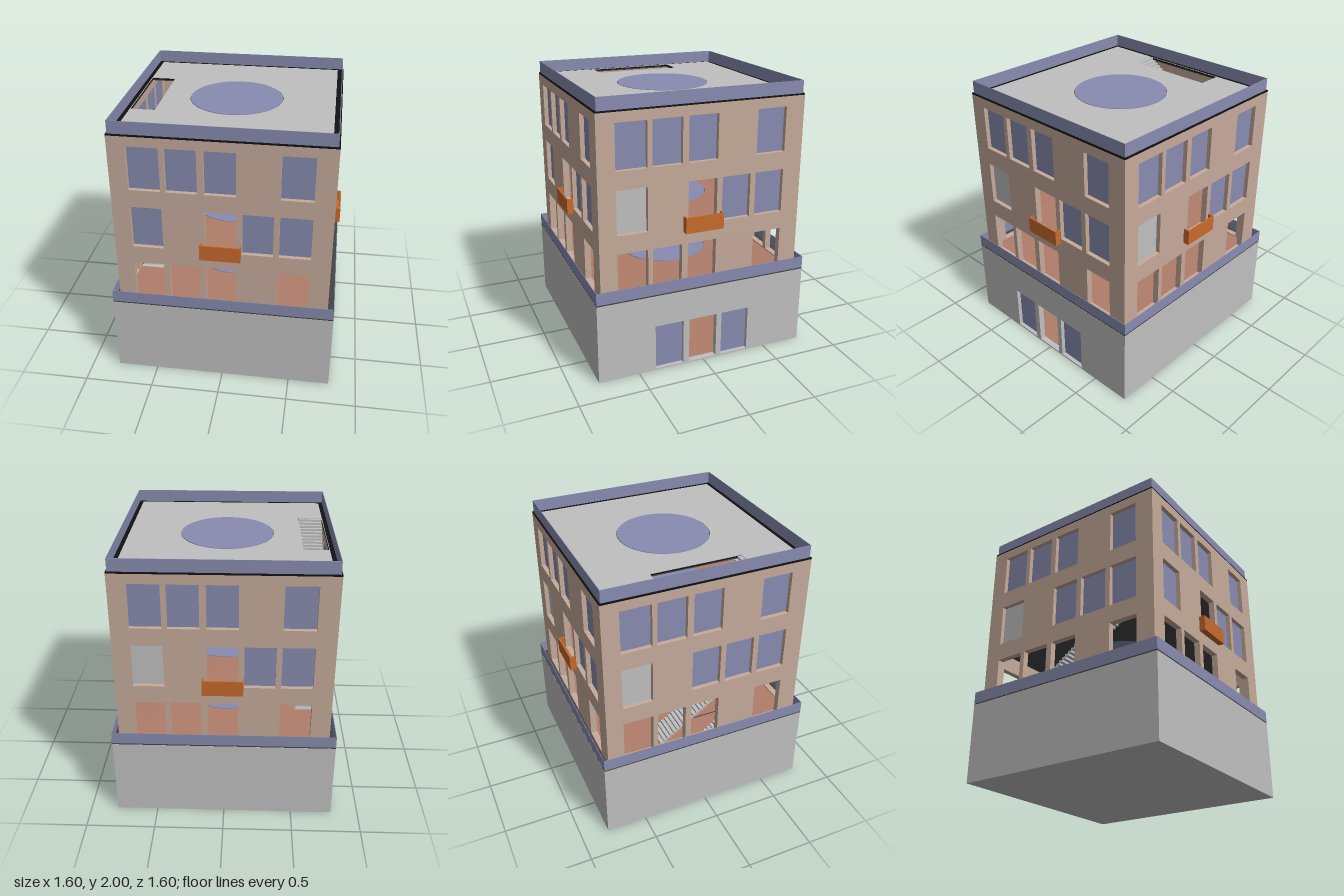
import * as THREE from 'three';

const mat = (name, color, side = THREE.FrontSide) => {
  const m = new THREE.MeshStandardMaterial({ color, side });
  m.name = name;
  return m;
};

export function createModel() {
  const grey = mat('concrete', 0xc0c0c0);
  const blue = mat('blueGlass', 0x888cb0);
  const salmon = mat('plaster', 0xc6ab9b);
  const wood = mat('woodFloor', 0xb07d69);
  const orange = mat('balconyOrange', 0xc86a2c);
  const dark = mat('darkSlab', 0x444444);
  const black = mat('blackRoofing', 0x111111);

  const model = new THREE.Group();
  const add = (parent, name, geo, material, x = 0, y = 0, z = 0) => {
    const mesh = new THREE.Mesh(geo, material);
    mesh.name = name;
    mesh.position.set(x, y, z);
    parent.add(mesh);
    return mesh;
  };
  // Box given by its minimum and maximum corners
  const box = (parent, name, material, x0, x1, y0, y1, z0, z1) =>
    add(parent, name, new THREE.BoxGeometry(x1 - x0, y1 - y0, z1 - z0), material,
      (x0 + x1) / 2, (y0 + y1) / 2, (z0 + z1) / 2);
  const rect = (Type, x0, x1, y0, y1) => {
    const s = new Type();
    s.moveTo(x0, y0).lineTo(x1, y0).lineTo(x1, y1).lineTo(x0, y1).closePath();
    return s;
  };
  const side = (name, k) => {
    const g = new THREE.Group();
    g.name = name;
    g.rotation.y = k * Math.PI / 2;
    model.add(g);
    return g;
  };
  // Wall facing +z with rectangular openings [x0, x1, y0, y1]
  const wall = (parent, name, material, half, thick, y0, y1, openings) => {
    const s = rect(THREE.Shape, -half, half - thick, y0, y1);
    openings.forEach(o => s.holes.push(rect(THREE.Path, ...o)));
    const geo = new THREE.ExtrudeGeometry(s, { depth: thick, bevelEnabled: false });
    add(parent, name, geo, material, 0, 0, half - thick);
  };
  // Horizontal slab with a stairwell and a round skylight opening
  const R = 0.335;
  const slab = (name, material, half, y0, y1) => {
    const s = rect(THREE.Shape, -half, half, -half, half);
    s.holes.push(rect(THREE.Path, -0.705, -0.53, -0.34, 0.33));
    const c = new THREE.Path();
    c.absarc(0, 0, R, 0, Math.PI * 2, true);
    s.holes.push(c);
    const geo = new THREE.ExtrudeGeometry(s, { depth: y1 - y0, bevelEnabled: false, curveSegments: 48 });
    geo.rotateX(-Math.PI / 2);
    add(model, name, geo, material, 0, y0, 0);
  };

  // Opening columns, seen from outside each wall
  const A = [-0.63, -0.41], B = [-0.375, -0.16], C = [-0.115, 0.10], D = [0.14, 0.355], E = [0.395, 0.615];
  const names = ['front', 'right', 'back', 'left'];
  names.forEach((n, k) => {
    const g = side(n + 'Side', k);

    // Base wall, with shop windows and a doorway on one side only
    const shop = k === 1 ? [B, C, D].map(c => [...c, 0.012, 0.355]) : [];
    wall(g, 'baseWall', grey, 0.8, 0.045, 0, 0.592, shop);
    if (shop.length) [B, D].forEach(c => box(g, 'shopWindow', blue, ...c, 0.012, 0.355, 0.762, 0.77));

    // Upper wall with three storeys of openings
    const ground = [A, B, C, E].map(c => [...c, 0.612, 0.93]);
    const middle = [A, C, D, E].map(c => [...c, 1.062, 1.38]);
    const top = [A, B, C, E].map(c => [...c, 1.51, 1.83]);
    wall(g, 'upperWall', salmon, 0.755, 0.045, 0.6, 1.9, [...ground, ...middle, ...top]);
    top.forEach(o => box(g, 'topWindow', blue, ...o, 0.715, 0.723));
    middle.forEach((o, i) => {
      if (i === 1 && k !== 3) return; // open balcony door
      box(g, 'middleWindow', i === 0 && k !== 0 ? grey : blue, ...o, 0.715, 0.723);
    });

    // Ledge and roof parapets
    box(g, 'ledgeParapet', blue, -0.8, 0.8, 0.602, 0.69, 0.796, 0.8);
    box(g, 'roofParapet', blue, -0.745, 0.745, 1.91, 2, 0.741, 0.745);

    // Balcony: open box in front of the door
    if (k !== 3) {
      box(g, 'balconyFloor', orange, -0.15, 0.135, 1.02, 1.06, 0.755, 0.79);
      box(g, 'balconyFront', orange, -0.15, 0.135, 1.02, 1.135, 0.79, 0.8);
      for (const x of [-0.15, 0.125]) box(g, 'balconyEnd', orange, x, x + 0.01, 1.02, 1.135, 0.755, 0.79);
    }
  });

  // Ground floor
  box(model, 'groundSlab', grey, -0.755, 0.755, 0, 0.006, -0.755, 0.755);
  box(model, 'groundFloor', wood, -0.755, 0.755, 0.006, 0.011, -0.755, 0.755);

  // Storey slabs, floor finishes and round glass panels
  const levels = [0.6, 1.06, 1.505, 1.91];
  levels.forEach((y, i) => {
    const roof = i === 3;
    const half = i === 0 ? 0.799 : roof ? 0.755 : 0.712;
    slab(roof ? 'roofSlab' : 'floorSlab', roof ? black : dark, half, y - (roof ? 0.01 : 0.008), y);
    if (roof) slab('ceiling', dark, 0.71, y - 0.018, y - 0.01);
    slab(roof ? 'roofDeck' : 'floorFinish', roof ? grey : wood, 0.709, y, y + 0.004);
    add(model, 'roundSkylight', new THREE.CylinderGeometry(R - 0.003, R - 0.003, 0.012, 64), blue, 0, y, 0);
  });

  // Flights of floating treads along the left wall, rising to the front
  const run = 0.67 / 26;
  const flight = (y0, y1, steps) => {
    const rise = (y1 - y0) / steps;
    for (let i = 0; i < steps; i++) {
      const z = 0.335 - (steps - i) * run;
      const y = y0 + (i + 1) * rise;
      box(model, 'stairTread', grey, -0.705, -0.535, y - 0.018, y, z, z + run + 0.006);
    }
  };
  flight(0.011, 0.6, 33);
  for (let i = 0; i < 3; i++) flight(levels[i], levels[i + 1], 26);

  return model;
}
